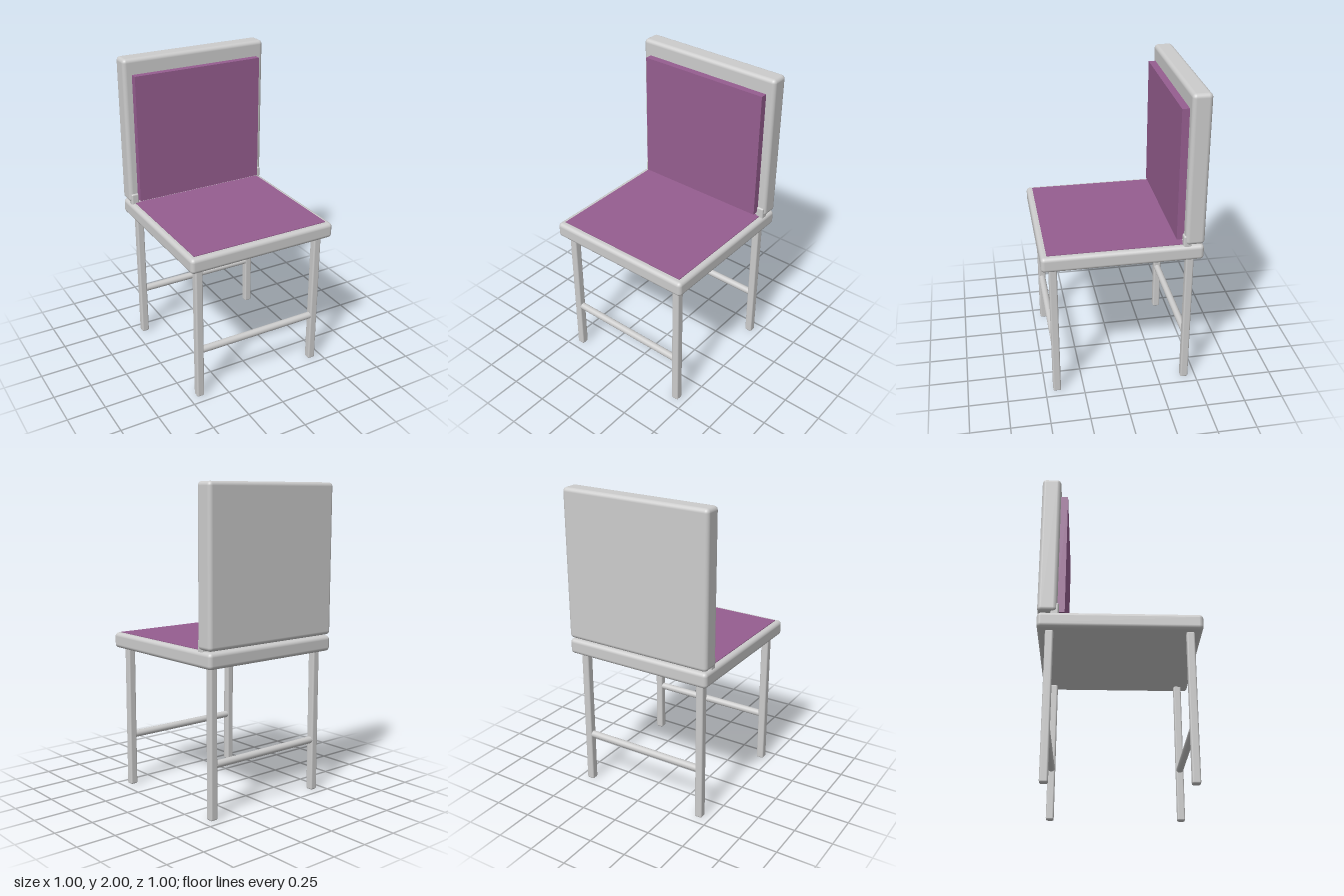
import * as THREE from 'three';
import { RoundedBoxGeometry } from 'three/addons/geometries/RoundedBoxGeometry.js';

export function createModel() {
  const chair = new THREE.Group();
  chair.name = 'chair';

  const frame = new THREE.MeshStandardMaterial({ color: 0xcccccc });
  frame.name = 'light grey frame';
  const fabric = new THREE.MeshStandardMaterial({ color: 0x965e90 });
  fabric.name = 'purple fabric';

  function add(name, geometry, material, x, y, z) {
    const mesh = new THREE.Mesh(geometry, material);
    mesh.name = name;
    mesh.position.set(x, y, z);
    chair.add(mesh);
    return mesh;
  }

  // Seat slab with a thin fabric inlay on top
  add('seat', new RoundedBoxGeometry(1, 0.1, 1, 4, 0.025), frame, 0, 0.983, 0);
  add('seatFabric', new THREE.BoxGeometry(0.93, 0.008, 0.84), fabric, 0, 1.033, 0.042);

  // Backrest slab and its raised cushion
  add('backrest', new RoundedBoxGeometry(1, 0.96, 0.12, 4, 0.025), frame, 0, 1.52, -0.44);
  add('backCushion', new THREE.BoxGeometry(0.89, 0.84, 0.055), fabric, 0, 1.48, -0.3625);

  // Legs, and short posts joining the backrest to the seat
  const legGeometry = new RoundedBoxGeometry(0.05, 0.94, 0.05, 3, 0.01);
  const postGeometry = new RoundedBoxGeometry(0.05, 0.1, 0.05, 3, 0.01);
  for (const side of [-1, 1]) {
    for (const end of [-1, 1]) {
      add(end > 0 ? 'frontLeg' : 'backLeg', legGeometry, frame, side * 0.425, 0.47, end * 0.425);
    }
    add('backrestPost', postGeometry, frame, side * 0.465, 1.05, -0.395);
  }

  // Round stretchers across the front and back pairs of legs
  const barGeometry = new THREE.CylinderGeometry(0.023, 0.023, 0.82, 20);
  for (const end of [-1, 1]) {
    const bar = add(end > 0 ? 'frontStretcher' : 'backStretcher', barGeometry, frame, 0, 0.34, end * 0.425);
    bar.rotation.z = Math.PI / 2;
  }

  return chair;
}
